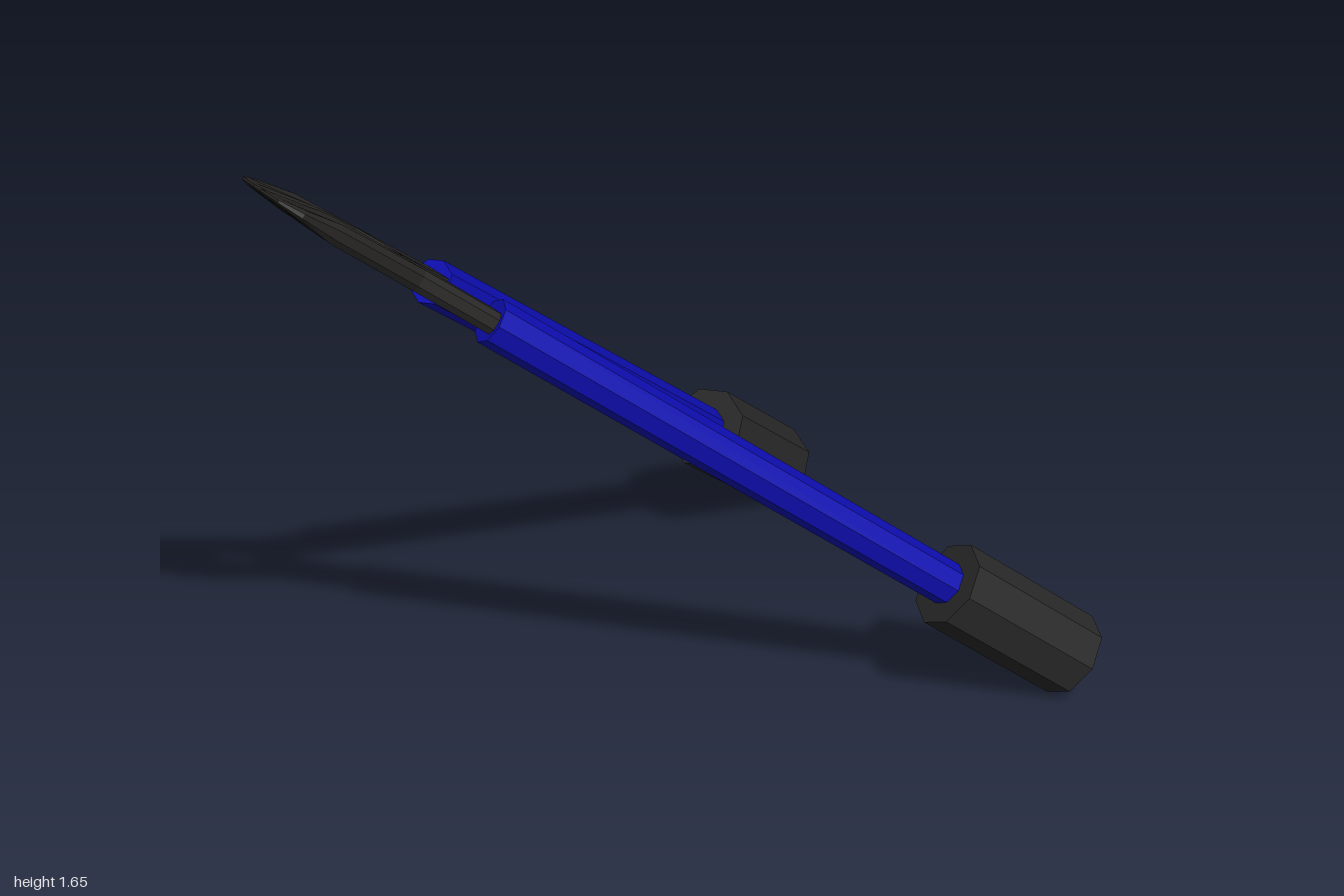
import * as THREE from 'three';

const material = (name, color, flat = true) =>
  new THREE.MeshStandardMaterial({ name, color, flatShading: flat });

const TILT = 0.265;      // half the opening angle between the handles
const TOP = 0.122;       // half the distance between the tube tops
const TUBE = 1.41, GRIP = 0.43;

// One half of the cutting head: shank, hinge shoulder and jaw
function headHalf(side) {
  const outline = [
    [0.101, -0.085], [0.185, -0.06], [0.166, -0.01], [0.108, 0.21],
    [0.108, 0.46], [0.108, 0.565], [0.075, 0.615], [0.013, 0.624],
    [0.006, 0.46], [0.011, 0.425], [0.047, 0.305], [0.028, 0.24],
    [0, 0.232], [0, 0.15], [0.014, 0.143], [0.086, -0.035],
  ];
  const shape = new THREE.Shape(outline.map(([x, y]) => new THREE.Vector2(side * x, y)));
  const bevel = 0.014, depth = 0.024;
  const geo = new THREE.ExtrudeGeometry(shape, {
    depth, bevelEnabled: true, bevelSegments: 1,
    bevelThickness: bevel, bevelSize: 0.01, bevelOffset: -0.01,
  });
  geo.translate(0, 0, -depth / 2);
  // Thin the jaw towards its tip
  const p = geo.attributes.position;
  for (let i = 0; i < p.count; i++) {
    const k = THREE.MathUtils.clamp((p.getY(i) - 0.44) / 0.18, 0, 1);
    p.setZ(i, p.getZ(i) * (1 - 0.8 * k));
  }
  geo.computeVertexNormals();
  return geo;
}

export function createModel() {
  const blue = material('blue tube', 0x0d0db0);
  const rubber = material('black rubber', 0x282828);
  const steel = material('dark steel', 0x262524);

  const model = new THREE.Group();
  model.name = 'boltCutter';

  const add = (parent, name, geo, mat) => {
    const mesh = new THREE.Mesh(geo, mat);
    mesh.name = name;
    parent.add(mesh);
    return mesh;
  };

  // The tool lies in a slanted plane: x across, y towards the jaws
  const tool = new THREE.Group();
  tool.name = 'tool';
  const across = new THREE.Vector3(0.884, 0, 0.467).normalize();
  const along = new THREE.Vector3(-0.347, 0.651, 0.675).normalize();
  const face = new THREE.Vector3().crossVectors(across, along).normalize();
  along.crossVectors(face, across);
  tool.quaternion.setFromRotationMatrix(new THREE.Matrix4().makeBasis(across, along, face));
  tool.position.set(-0.465, 1.247, 0.538);
  model.add(tool);

  for (const side of [-1, 1]) {
    const label = side > 0 ? 'left' : 'right';
    add(tool, label + 'Jaw', headHalf(side), steel);

    // Handle hangs down from the top of its tube
    const handle = new THREE.Group();
    handle.name = label + 'Handle';
    handle.position.x = side * TOP;
    handle.rotation.z = side * TILT;
    tool.add(handle);

    const tubeLength = TUBE + 0.05;
    add(handle, label + 'Tube', new THREE.CylinderGeometry(0.055, 0.055, tubeLength, 8), blue)
      .position.y = -tubeLength / 2;
    add(handle, label + 'Grip', new THREE.CylinderGeometry(0.11, 0.11, GRIP, 8), rubber)
      .position.y = -TUBE - GRIP / 2;
  }
  return model;
}
